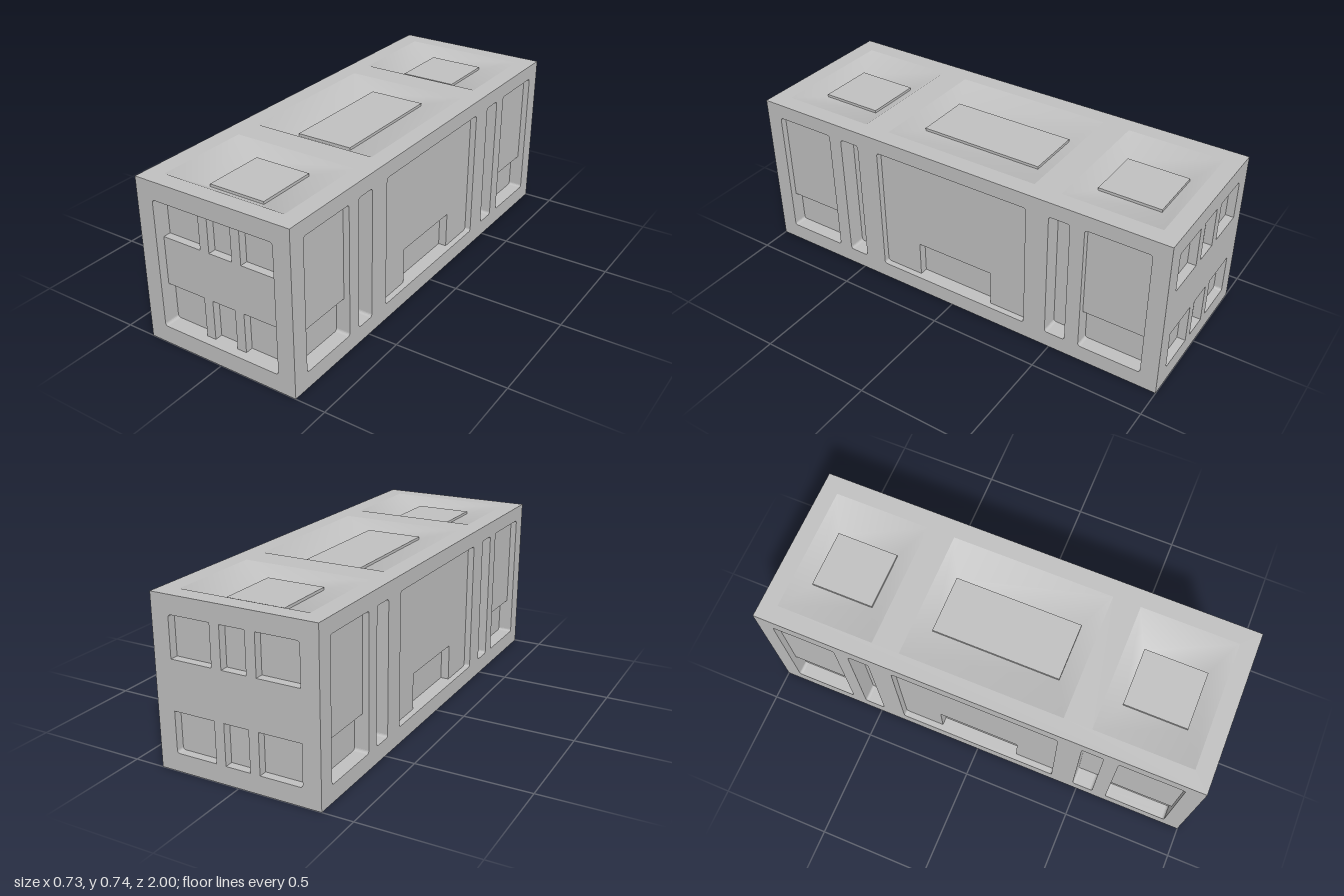
import * as THREE from 'three';

const W = 0.367, H = 0.735, L = 1, R = 0.012;

// Rectangle outline, counter-clockwise, rounded at the listed corners (bl, br, tr, tl)
function rect(x0, x1, y0, y1, round = [1, 1, 1, 1], r = R) {
  const pts = [];
  [[x0, y0, 1, 1], [x1, y0, -1, 1], [x1, y1, -1, -1], [x0, y1, 1, -1]].forEach(([x, y, sx, sy], i) => {
    if (!round[i]) return pts.push(new THREE.Vector2(x, y));
    for (let k = 0; k <= 4; k++) {
      const a = Math.PI + i * Math.PI / 2 + k * Math.PI / 8;
      pts.push(new THREE.Vector2(x + sx * r + r * Math.cos(a), y + sy * r + r * Math.sin(a)));
    }
  });
  return pts;
}
const poly = (list) => list.map(([x, y]) => new THREE.Vector2(x, y));
const square = (x0, x1, y0, y1) => rect(x0, x1, y0, y1, [0, 0, 0, 0]);

export function createModel() {
  const model = new THREE.Group();
  model.name = 'container';
  const grey = new THREE.MeshStandardMaterial({ color: 0xc0c0c0 });
  grey.name = 'plain grey';

  function add(parent, name, geometry) {
    const mesh = new THREE.Mesh(geometry, grey);
    mesh.name = name;
    parent.add(mesh);
    return mesh;
  }
  // Flat sheet at a given depth behind the face
  function sheet(parent, name, outline, depth = 0, holes = []) {
    const shape = new THREE.Shape(outline);
    shape.holes = holes.map((h) => new THREE.Path(h));
    add(parent, name, new THREE.ShapeGeometry(shape).translate(0, 0, -depth));
  }
  // Inward-facing walls of a recess
  function walls(parent, name, outline, from, to) {
    const pos = [];
    outline.forEach((p, i) => {
      const q = outline[(i + 1) % outline.length];
      pos.push(p.x, p.y, -from, q.x, q.y, -from, q.x, q.y, -to);
      pos.push(p.x, p.y, -from, q.x, q.y, -to, p.x, p.y, -to);
    });
    const g = new THREE.BufferGeometry();
    g.setAttribute('position', new THREE.Float32BufferAttribute(pos, 3));
    g.computeVertexNormals();
    add(parent, name, g);
  }
  function pocket(parent, name, outline, from, to) {
    walls(parent, name + 'Walls', outline, from, to);
    sheet(parent, name + 'Floor', outline, to);
  }
  function face(name, x, y, z, rx, ry) {
    const g = new THREE.Group();
    g.name = name;
    g.position.set(x, y, z);
    g.rotation.set(rx, ry, 0);
    model.add(g);
    return g;
  }

  // Six end windows, rounded on the outer corners
  const windows = [];
  for (const [y0, y1, top] of [[0.08, 0.26, 0], [0.476, 0.655, 1]]) {
    windows.push(rect(-0.288, -0.1, y0, y1, [!top, 0, 0, top]));
    windows.push(square(-0.056, 0.056, y0, y1));
    windows.push(rect(0.1, 0.288, y0, y1, [0, !top, top, 0]));
  }

  // Front: shallow recess holding a cross band and four posts, windows deeper
  const front = face('front', 0, 0, L, 0, 0);
  const frontRecess = rect(-0.288, 0.288, 0.08, 0.655);
  sheet(front, 'frontFrame', square(-W, W, 0, H), 0, [frontRecess]);
  walls(front, 'frontRecessWalls', frontRecess, 0, 0.04);
  sheet(front, 'frontBand', square(-0.288, 0.288, 0.26, 0.476), 0.04);
  for (const s of [-0.078, 0.078]) {
    sheet(front, 'lowerPost', square(s - 0.022, s + 0.022, 0.08, 0.26), 0.04);
    sheet(front, 'upperPost', square(s - 0.022, s + 0.022, 0.476, 0.655), 0.04);
  }
  windows.forEach((w) => pocket(front, 'frontWindow', w, 0.04, 0.075));

  // Back: the same windows cut straight into the face
  const back = face('back', 0, 0, -L, 0, Math.PI);
  sheet(back, 'backFrame', square(-W, W, 0, H), 0, windows);
  windows.forEach((w) => pocket(back, 'backWindow', w, 0, 0.037));

  // Sides: end panels, narrow slots and a wide centre panel with a low niche
  const lo = 0.075, hi = 0.667, step = 0.24, d1 = 0.028, d2 = 0.065;
  for (const s of [1, -1]) {
    const side = face(s > 0 ? 'leftSide' : 'rightSide', s * W, 0, 0, 0, s * Math.PI / 2);
    const centre = rect(-0.373, 0.373, lo, hi);
    const holes = [centre];
    for (const m of [1, -1]) {
      const span = (a, b) => (m > 0 ? [a, b] : [-b, -a]);
      const slot = rect(...span(0.478, 0.573), lo, hi);
      const panel = rect(...span(0.638, 0.923), lo, hi);
      holes.push(slot, panel);
      pocket(side, 'slot', slot, 0, 0.079);
      walls(side, 'endPanelWalls', panel, 0, d1);
      sheet(side, 'endPanel', rect(...span(0.638, 0.923), step, hi, [0, 0, 1, 1]), d1);
      pocket(side, 'endNiche', rect(...span(0.638, 0.923), lo, step, [1, 1, 0, 0]), d1, d2);
    }
    sheet(side, 'sideFrame', square(-L, L, 0, H), 0, holes);
    walls(side, 'centrePanelWalls', centre, 0, d1);
    sheet(side, 'centrePanelUpper', rect(-0.373, 0.373, step, hi, [0, 0, 1, 1]), d1);
    sheet(side, 'centrePanelFront', rect(-0.373, -0.187, lo, step, [1, 0, 0, 0]), d1);
    sheet(side, 'centrePanelBack', rect(0.187, 0.373, lo, step, [0, 1, 0, 0]), d1);
    pocket(side, 'centreNiche', square(-0.187, 0.187, lo, step), d1, d2);
  }

  // Top: three sloped basins, each with a slightly raised plate
  const top = face('top', 0, H, 0, -Math.PI / 2, 0);
  const rims = [];
  for (const [c, outer, inner] of [[0.706, 0.218, 0.14], [0, 0.365, 0.286], [-0.706, 0.218, 0.14]]) {
    const rim = square(-0.288, 0.288, c - outer, c + outer);
    const foot = square(-0.13, 0.13, c - inner, c + inner);
    rims.push(rim);
    const pos = [...rim.flatMap((p) => [p.x, p.y, 0]), ...foot.flatMap((p) => [p.x, p.y, -0.044])];
    const index = [];
    for (let i = 0; i < 4; i++) {
      const j = (i + 1) % 4;
      index.push(i, j, j + 4, i, j + 4, i + 4);
    }
    const slope = new THREE.BufferGeometry();
    slope.setAttribute('position', new THREE.Float32BufferAttribute(pos, 3));
    slope.setIndex(index);
    slope.computeVertexNormals();
    add(top, 'basinSlope', slope);
    add(top, 'basinPlate', new THREE.BoxGeometry(0.26, inner * 2, 0.012)).position.set(0, c, -0.038);
  }
  sheet(top, 'topFrame', square(-W, W, -L, L), 0, rims);

  // Underside
  const bottom = face('bottom', 0, 0, 0, Math.PI / 2, 0);
  sheet(bottom, 'floorPlate', square(-W, W, -L, L));

  return model;
}
